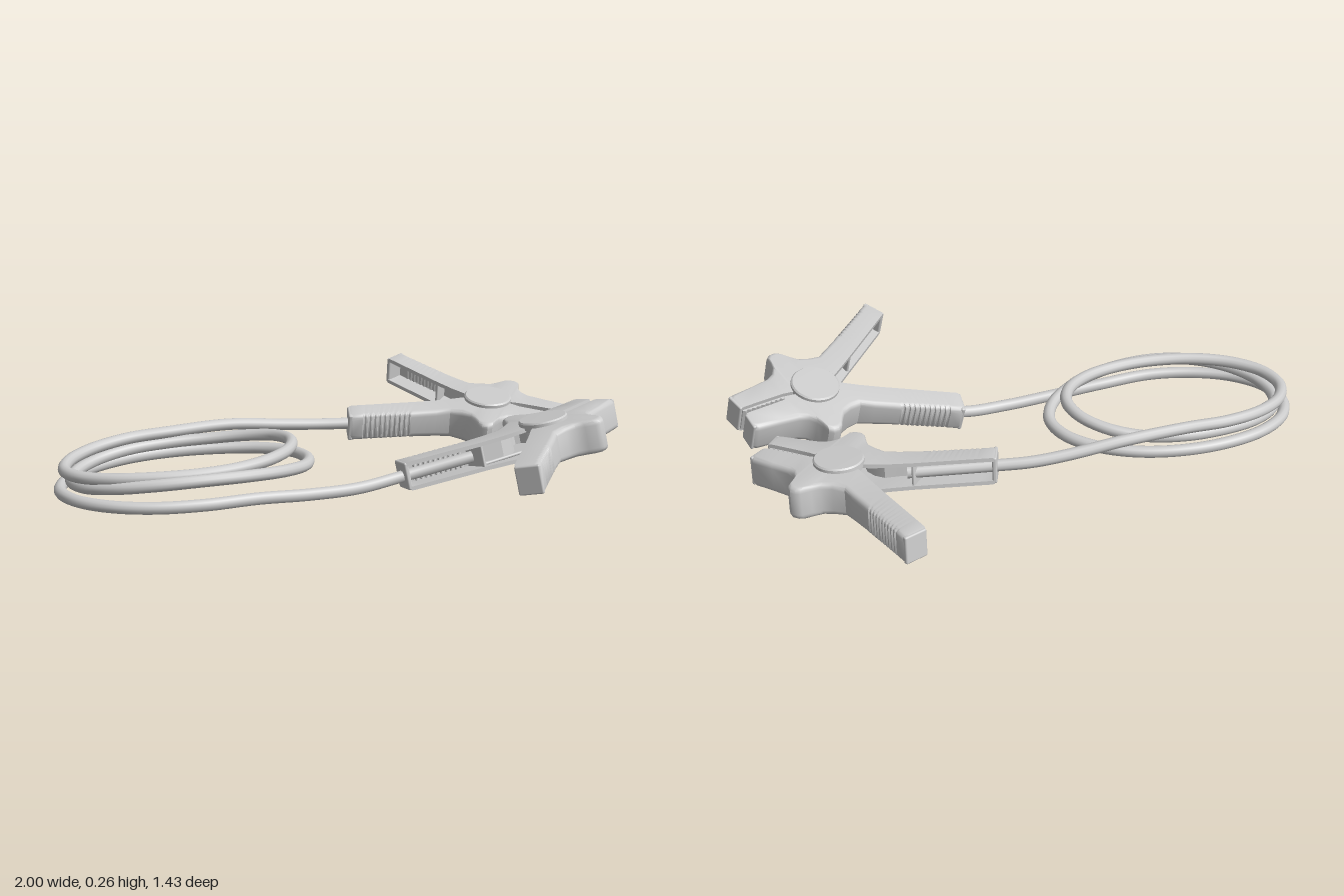
import * as THREE from 'three';
import { toCreasedNormals } from 'three/addons/utils/BufferGeometryUtils.js';
import { RoundedBoxGeometry } from 'three/addons/geometries/RoundedBoxGeometry.js';

const grey = new THREE.MeshStandardMaterial({ color: 0xcccccc });

function add(parent, name, geometry) {
  const mesh = new THREE.Mesh(geometry, grey);
  mesh.name = name;
  parent.add(mesh);
  return mesh;
}

// Stations along one arm: outer edge (ou, ov), inner edge (iu, iv), half thickness h
function armStations() {
  const list = [];
  const ribs = 10, start = 0.13, end = 0.62, lerp = THREE.MathUtils.lerp;
  const handle = (t, inset, h) => list.push({
    ou: lerp(-0.424, -0.104, t) - inset * 0.5, ov: lerp(0.323, 0.139, t) - inset * 0.87,
    iu: lerp(-0.458, -0.1, t), iv: lerp(0.242, 0.024, t), h
  });
  handle(0, 0.002, 0.049);
  handle(0.02, 0, 0.051);
  handle(0.12, 0, 0.051);
  // grip ridges on the outer wall
  for (let i = 0; i < ribs; i++) {
    const t = start + (end - start) * i / ribs, d = (end - start) / ribs;
    handle(t, 0.004, 0.051);
    handle(t + d * 0.25, 0.004, 0.051);
    handle(t + d * 0.5, 0, 0.051);
    handle(t + d * 0.8, 0, 0.051);
  }
  handle(0.66, 0.001, 0.051);
  handle(0.86, 0, 0.053);
  // shoulder, finger bump and jaw
  for (const [ou, ov, iu, iv, h] of [
    [-0.104, 0.139, -0.1, 0.024, 0.057], [-0.06, 0.143, -0.06, 0.006, 0.06], [-0.023, 0.157, -0.03, 0.003, 0.06],
    [-0.002, 0.18, -0.01, 0.003, 0.06], [0.02, 0.209, 0.005, 0.003, 0.06], [0.036, 0.218, 0.02, 0.003, 0.06],
    [0.056, 0.217, 0.04, 0.003, 0.06], [0.071, 0.205, 0.055, 0.003, 0.06], [0.075, 0.178, 0.07, 0.003, 0.06],
    [0.082, 0.15, 0.08, 0.005, 0.06], [0.1, 0.126, 0.095, 0.008, 0.06], [0.13, 0.111, 0.125, 0.014, 0.058],
    [0.2, 0.101, 0.2, 0.015, 0.057], [0.28, 0.093, 0.275, 0.015, 0.056], [0.292, 0.086, 0.285, 0.015, 0.054]
  ]) list.push({ ou, ov, iu, iv, h });
  return list;
}

// Channel section, open towards the other arm: [distance from outer edge, height]
function channelSection(depth, h) {
  const r = 0.02, wall = 0.014, pts = [[depth, h]];
  for (let k = 0; k <= 4; k++) {
    const a = k / 4 * Math.PI / 2;
    pts.push([r - r * Math.sin(a), h - r + r * Math.cos(a)]);
  }
  for (let k = 4; k >= 0; k--) {
    const a = k / 4 * Math.PI / 2;
    pts.push([r - r * Math.sin(a), -h + r - r * Math.cos(a)]);
  }
  pts.push([depth, -h], [depth, -h + wall], [wall * 1.4, -h + wall], [wall * 1.4, h - wall], [depth, h - wall]);
  return pts;
}

function armGeometry(stations, side) {
  const pos = [], index = [];
  let n = 0;
  for (const s of stations) {
    const depth = Math.hypot(s.iu - s.ou, s.iv - s.ov);
    const section = channelSection(depth, s.h);
    n = section.length;
    for (const [d, w] of section) {
      const f = d / depth;
      pos.push(s.ou + (s.iu - s.ou) * f, side * (s.ov + (s.iv - s.ov) * f), w);
    }
  }
  for (let j = 0; j < stations.length - 1; j++) {
    for (let i = 0; i < n; i++) {
      const a = j * n + i, b = j * n + (i + 1) % n, c = a + n, d = b + n;
      if (side > 0) index.push(a, c, b, b, c, d);
      else index.push(a, b, c, b, d, c);
    }
  }
  const g = new THREE.BufferGeometry();
  g.setAttribute('position', new THREE.Float32BufferAttribute(pos, 3));
  g.setIndex(index);
  return toCreasedNormals(g, 0.6);
}

// Wall across the channel at a station
function crossWall(parent, name, s, side, thickness, trim) {
  const depth = Math.hypot(s.iu - s.ou, s.iv - s.ov) - trim;
  const wall = add(parent, name, new RoundedBoxGeometry(depth, thickness, 2 * (s.h - trim), 2, Math.min(0.006, thickness * 0.4)));
  wall.position.set((s.ou + s.iu) / 2, side * (s.ov + s.iv) / 2, 0);
  wall.rotation.z = Math.atan2(side * (s.iv - s.ov), s.iu - s.ou);
}

// Toothed insert filling the jaw
function jawGeometry(side) {
  const shape = new THREE.Shape(), teeth = 9, u0 = 0.115, u1 = 0.283;
  shape.moveTo(u0, side * 0.09);
  for (let i = 0; i < teeth; i++) {
    const a = u0 + (u1 - u0) * i / teeth, b = u0 + (u1 - u0) * (i + 0.5) / teeth;
    shape.lineTo(a, side * 0.011);
    shape.lineTo(b, side * 0.005);
  }
  shape.lineTo(u1, side * 0.011);
  shape.lineTo(u1, side * 0.082);
  const g = new THREE.ExtrudeGeometry(shape, { depth: 0.084, bevelEnabled: false });
  return g.translate(0, 0, -0.042);
}

function createClamp(name) {
  const clamp = new THREE.Group();
  clamp.name = name;
  const stations = armStations();
  for (const side of [1, -1]) {
    const arm = new THREE.Group();
    arm.name = side > 0 ? 'firstArm' : 'secondArm';
    clamp.add(arm);
    add(arm, 'armShell', armGeometry(stations, side));
    crossWall(arm, 'handleEnd', stations[0], side, 0.016, 0);
    crossWall(arm, 'handleWeb', stations[43], side, 0.01, 0.01);
    crossWall(arm, 'jawEnd', stations[stations.length - 1], side, 0.014, 0.001);
    add(arm, 'toothedJaw', jawGeometry(side));
    // lug and cap of the pivot on this face
    const lug = add(clamp, 'pivotLug', new THREE.CylinderGeometry(0.082, 0.082, 0.016, 40));
    lug.rotation.x = Math.PI / 2;
    lug.position.z = side * 0.05;
    const cap = add(clamp, 'pivotCap', toCreasedNormals(new THREE.LatheGeometry([
      [0, 0.05], [0.086, 0.05], [0.086, 0.07], [0.081, 0.075], [0, 0.076]
    ].map(p => new THREE.Vector2(...p)), 48), 0.5));
    cap.rotation.x = side * Math.PI / 2;
  }
  // pin and spring
  const pin = add(clamp, 'pivotPin', new THREE.CylinderGeometry(0.022, 0.022, 0.11, 20));
  pin.rotation.x = Math.PI / 2;
  const coil = [new THREE.Vector3(-0.2, 0.12, -0.034)];
  for (let i = 0; i <= 56; i++) {
    const a = i / 56 * Math.PI * 7 + Math.PI / 2;
    coil.push(new THREE.Vector3(0.036 * Math.cos(a), 0.036 * Math.sin(a), -0.034 + 0.068 * i / 56));
  }
  coil.push(new THREE.Vector3(-0.2, -0.12, 0.034));
  add(clamp, 'spring', new THREE.TubeGeometry(new THREE.CatmullRomCurve3(coil), 200, 0.006, 6));
  return clamp;
}

// Lay a clamp on the sloping plane y = py + b(x - px) + c(z - pz), jaw pointing along angle
function placeClamp(clamp, position, angle, b, c) {
  const W = new THREE.Vector3(-b, 1, -c).normalize();
  const ux = Math.cos(angle), uz = Math.sin(angle);
  const U = new THREE.Vector3(ux, b * ux + c * uz, uz).normalize();
  const V = new THREE.Vector3().crossVectors(W, U);
  clamp.quaternion.setFromRotationMatrix(new THREE.Matrix4().makeBasis(U, V, W));
  clamp.position.set(...position);
}

// Cable coiled two and a half turns between the handles
function cablePath() {
  const pts = [[0.42, 0.122, -0.224], [0.13, 0.123, -0.245], [0, 0.128, -0.257], [-0.13, 0.14, -0.257], [-0.33, 0.163, -0.245]];
  // per quarter turn: radius and height
  const radius = [0.228, 0.412, 0.217, 0.37, 0.222, 0.39, 0.245, 0.43, 0.247, 0.429, 0.262];
  const height = [0.165, 0.138, 0.152, 0.168, 0.128, 0.098, 0.138, 0.098, 0.085, 0.066, 0.06];
  for (let i = 0; i <= 40; i++) {
    const q = i / 4, k = Math.min(Math.floor(q), 9), f = q - k;
    const y = height[k] + (height[k + 1] - height[k]) * f * f * (3 - 2 * f);
    const a = q * Math.PI / 2;
    // elliptical quarter between neighbouring radii
    const rx = k % 2 ? radius[k] : radius[k + 1], rz = k % 2 ? radius[k + 1] : radius[k];
    pts.push([-0.55 - rx * Math.sin(a), y, 0.01 - rz * Math.cos(a)]);
  }
  pts.push([-0.36, 0.055, 0.252], [-0.18, 0.043, 0.235], [0, 0.038, 0.212], [0.17, 0.053, 0.183], [0.42, 0.103, 0.198]);
  return new THREE.CatmullRomCurve3(pts.map(p => new THREE.Vector3(...p)), false, 'centripetal');
}

export function createModel() {
  const model = new THREE.Group();
  model.name = 'jumperCable';
  add(model, 'cable', new THREE.TubeGeometry(cablePath(), 420, 0.021, 12));

  const rear = createClamp('rearClamp');
  placeClamp(rear, [0.644, 0.121, -0.204], 0.638, 0.007, -0.14);
  const front = createClamp('frontClamp');
  placeClamp(front, [0.689, 0.154, 0.224], -0.48, 0.177, 0.15);
  model.add(rear, front);
  return model;
}
